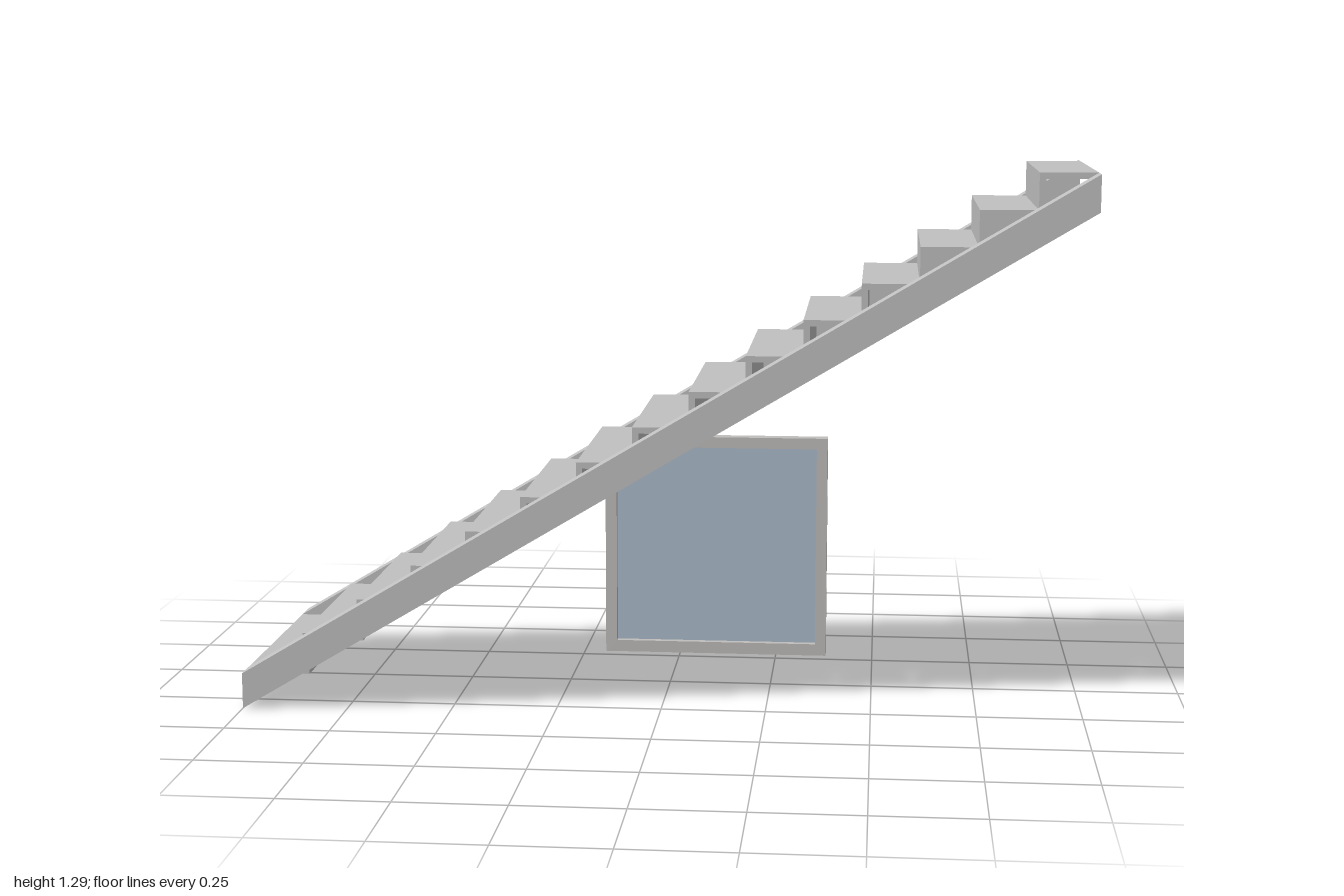
import * as THREE from 'three';

const STEPS = 15;
const RUN = 2 / STEPS;
const RISE = 1.286 / STEPS;
const PLATE = 0.015; // tread and riser thickness
const INNER = 0.265; // half width between the stringers
const OUTER = 0.333; // half width of the whole stair

function material(name, color) {
  const m = new THREE.MeshStandardMaterial({ color });
  m.name = name;
  return m;
}

// Box given by its lower and upper corners
function box(name, mat, [x0, y0, z0], [x1, y1, z1]) {
  const mesh = new THREE.Mesh(new THREE.BoxGeometry(x1 - x0, y1 - y0, z1 - z0), mat);
  mesh.position.set((x0 + x1) / 2, (y0 + y1) / 2, (z0 + z1) / 2);
  mesh.name = name;
  return mesh;
}

// Polygon in x and y, extruded from z0 to z1
function slab(name, mat, shape, z0, z1) {
  const geometry = new THREE.ExtrudeGeometry(shape, { depth: z1 - z0, bevelEnabled: false });
  const mesh = new THREE.Mesh(geometry, mat);
  mesh.position.z = z0;
  mesh.name = name;
  return mesh;
}

const points = (list) => list.map(([x, y]) => new THREE.Vector2(x, y));
const rect = (x0, y0, x1, y1) => points([[x0, y0], [x1, y0], [x1, y1], [x0, y1]]);

export function createModel() {
  const concrete = material('stair grey', 0xc0c0c0);
  const frameGrey = material('frame grey', 0xc0bebc);
  const glassBlue = material('glass blue', 0xacbccb);

  const model = new THREE.Group();
  model.name = 'staircaseWithWindow';

  // Sloping side beams
  const beam = new THREE.Shape(points([[-1, 0], [1, 1.2], [1, 1.286], [-1, 0.086]]));
  model.add(slab('frontStringer', concrete, beam, INNER, OUTER));
  model.add(slab('backStringer', concrete, beam, -OUTER, -INNER));

  // Thin folded steps, rising toward +x
  const steps = new THREE.Group();
  steps.name = 'steps';
  for (let i = 0; i < STEPS; i++) {
    const x = -1 + i * RUN;
    const top = (i + 1) * RISE;
    const bottom = Math.max(0, i * RISE - PLATE);
    steps.add(box('riser', concrete, [x, bottom, -INNER], [x + PLATE, top, INNER]));
    steps.add(box('tread', concrete, [x + PLATE, top - PLATE, -INNER], [x + RUN, top, INNER]));
  }
  model.add(steps);

  // Window under the back beam, its glass flush with the back
  const windowGroup = new THREE.Group();
  windowGroup.name = 'window';
  const frame = new THREE.Shape(rect(-0.195, 0, 0.38, 0.573));
  frame.holes.push(new THREE.Path(rect(-0.166, 0.03, 0.352, 0.545)));
  windowGroup.add(slab('windowFrame', frameGrey, frame, -0.32, -0.285));
  windowGroup.add(box('windowGlass', glassBlue, [-0.166, 0.03, -0.32], [0.352, 0.545, -0.302]));
  model.add(windowGroup);

  return model;
}
